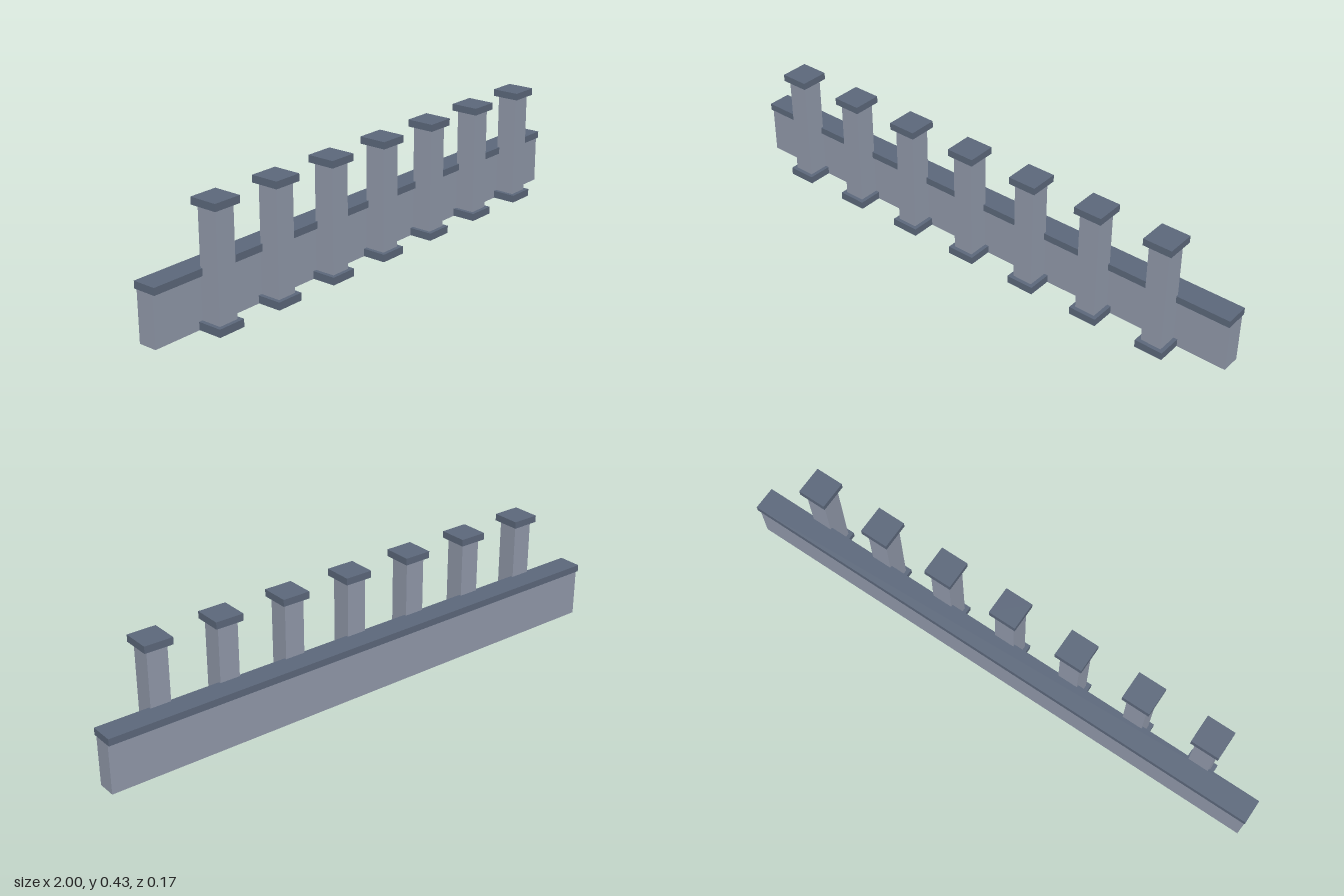
import * as THREE from 'three';

const stone = new THREE.MeshStandardMaterial({ color: 0x9199aa });
stone.name = 'pale stone';
const slate = new THREE.MeshStandardMaterial({ color: 0x5c687b });
slate.name = 'dark slate';

// Box given by its limits on each axis
function block(name, material, [x0, x1], [y0, y1], [z0, z1]) {
  const mesh = new THREE.Mesh(new THREE.BoxGeometry(x1 - x0, y1 - y0, z1 - z0), material);
  mesh.position.set((x0 + x1) / 2, (y0 + y1) / 2, (z0 + z1) / 2);
  mesh.name = name;
  return mesh;
}

// Square pillar with a base and a cap, centred on its own axis
function createPillar() {
  const pillar = new THREE.Group();
  const square = (name, material, half, y) =>
    pillar.add(block(name, material, [-half, half], y, [-half, half]));
  square('pillarBase', slate, 0.051, [0.001, 0.028]);
  square('pillarShaft', stone, 0.037, [0.028, 0.4]);
  square('pillarCap', slate, 0.051, [0.4, 0.425]);
  // Core of the shaft showing under the base
  square('pillarFoot', stone, 0.02, [0, 0.004]);
  return pillar;
}

export function createModel() {
  const model = new THREE.Group();
  model.name = 'pillaredWall';

  // Low wall with its overhanging coping
  model.add(block('wall', stone, [-0.999, 0.999], [0, 0.175], [-0.073, -0.005]));
  model.add(block('coping', slate, [-1, 1], [0.175, 0.2], [-0.082, 0.004]));

  // Row of seven pillars along the front
  for (let i = -3; i <= 3; i++) {
    const pillar = createPillar();
    pillar.name = `pillar${i + 4}`;
    pillar.position.set(i * 0.257, 0, 0.0325);
    model.add(pillar);
  }
  return model;
}
